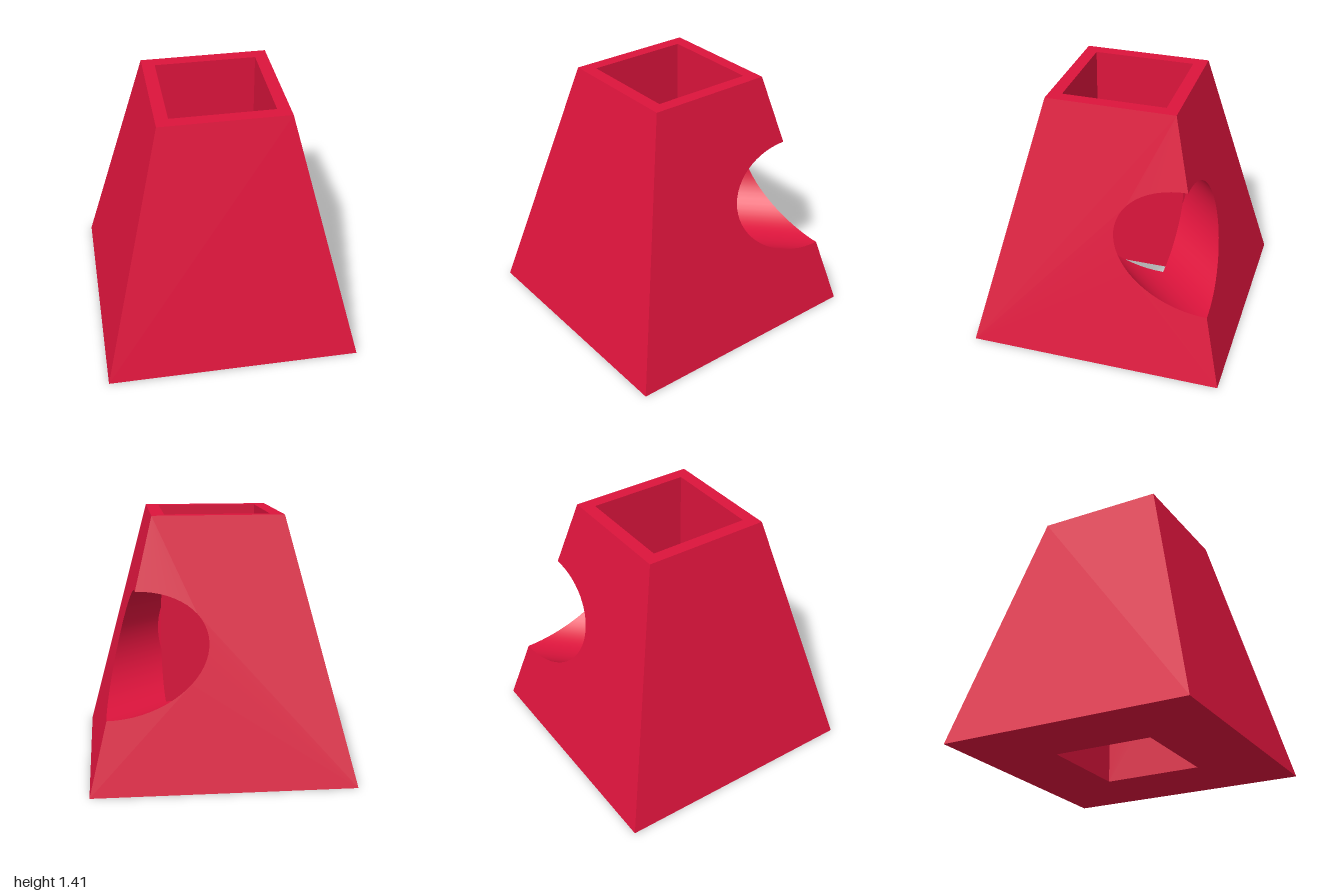
import * as THREE from 'three';

const H = Math.SQRT2;              // height
const BASE = 1, TOP = 0.5;         // half diagonals of the outer square
const SHAFT = 0.4;                 // half diagonal of the square shaft
const R = 0.3235, CY = H / 2;      // round side bore, along +x
const SEG = 64, END = Math.PI / 8; // bore segments; angle where the shaft meets the bore's flat end
const ZCUT = R * Math.cos(END), XEND = SHAFT - ZCUT;

const outer = y => BASE + (TOP - BASE) * y / H;
const material = new THREE.MeshStandardMaterial({ color: 0xdc143c });

function add(group, geometry, name) {
  const mesh = new THREE.Mesh(geometry, material);
  mesh.name = name;
  group.add(mesh);
}

// Points of the bore outline between two angles, u = distance from the z = 0 plane
function arc(from, to, limit = R) {
  const n = Math.round(Math.abs(to - from) / (2 * Math.PI / SEG));
  return Array.from({ length: n + 1 }, (_, i) => {
    const t = from + (to - from) * i / n;
    return new THREE.Vector2(Math.max(0, Math.min(R * Math.cos(t), limit)), CY + R * Math.sin(t));
  });
}

// Quarter wall from the corner on the x axis, optionally notched by the bore
function wallShape(bottom, top, notch = []) {
  const p = (x, y) => new THREE.Vector2(x, y);
  return new THREE.Shape([p(0, 0), p(bottom, 0), p(top, H), p(0, H), ...notch]);
}

// Place a flat (u, y) shape in the quadrant given by the signs sx, sz
function panel(shape, xOf, sx, sz, inward = false) {
  const g = new THREE.ShapeGeometry(shape);
  const pos = g.attributes.position;
  for (let i = 0; i < pos.count; i++) {
    const u = pos.getX(i), y = pos.getY(i);
    pos.setXYZ(i, sx * xOf(u, y), y, sz * u);
  }
  if ((sx * sz > 0) !== inward) g.index.array.reverse();
  g.computeVertexNormals();
  return g;
}

// Square frame for the top and bottom
function rim(radius, y, up) {
  const diamond = r => [[r, 0], [0, r], [-r, 0], [0, -r]].map(([a, b]) => new THREE.Vector2(a, b));
  const shape = new THREE.Shape(diamond(radius));
  shape.holes.push(new THREE.Path(diamond(SHAFT)));
  return new THREE.ShapeGeometry(shape).rotateX(up ? -Math.PI / 2 : Math.PI / 2).translate(0, y, 0);
}

// Round bore wall, from the shaft to the sloping outer faces
function boreWall() {
  const pos = [], nor = [], idx = [];
  for (let i = 0; i <= SEG; i++) {
    const t = 2 * Math.PI * i / SEG;
    const y = CY + R * Math.sin(t), z = R * Math.cos(t);
    pos.push(Math.max(SHAFT - Math.abs(z), XEND), y, z, outer(y) - Math.abs(z), y, z);
    for (let k = 0; k < 2; k++) nor.push(0, -Math.sin(t), -Math.cos(t));
    const a = 2 * i;
    if (i < SEG) idx.push(a, a + 2, a + 1, a + 1, a + 2, a + 3);
  }
  const g = new THREE.BufferGeometry();
  g.setAttribute('position', new THREE.Float32BufferAttribute(pos, 3));
  g.setAttribute('normal', new THREE.Float32BufferAttribute(nor, 3));
  g.setIndex(idx);
  return g;
}

export function createModel() {
  const group = new THREE.Group();
  group.name = 'taperedBlock';
  const half = Math.PI / 2;

  for (const sx of [1, -1]) for (const sz of [1, -1]) {
    // Sloping faces and shaft walls; only the +x ones are cut by the bore
    const cutOuter = sx > 0 ? arc(half, -half) : [];
    const cutInner = sx > 0 ? arc(half, -half, ZCUT) : [];
    add(group, panel(wallShape(BASE, TOP, cutOuter), (u, y) => outer(y) - u, sx, sz), 'outerFace');
    add(group, panel(wallShape(SHAFT, SHAFT, cutInner), u => SHAFT - u, sx, sz, true), 'shaftWall');
  }

  add(group, rim(TOP, H, true), 'topRim');
  add(group, rim(BASE, 0, false), 'bottomFace');
  add(group, boreWall(), 'sideBore');

  // Slivers of the bore's flat end beside the shaft
  for (const sz of [1, -1]) {
    add(group, panel(new THREE.Shape(arc(-END, END)), () => XEND, 1, sz), 'boreEnd');
  }
  return group;
}
